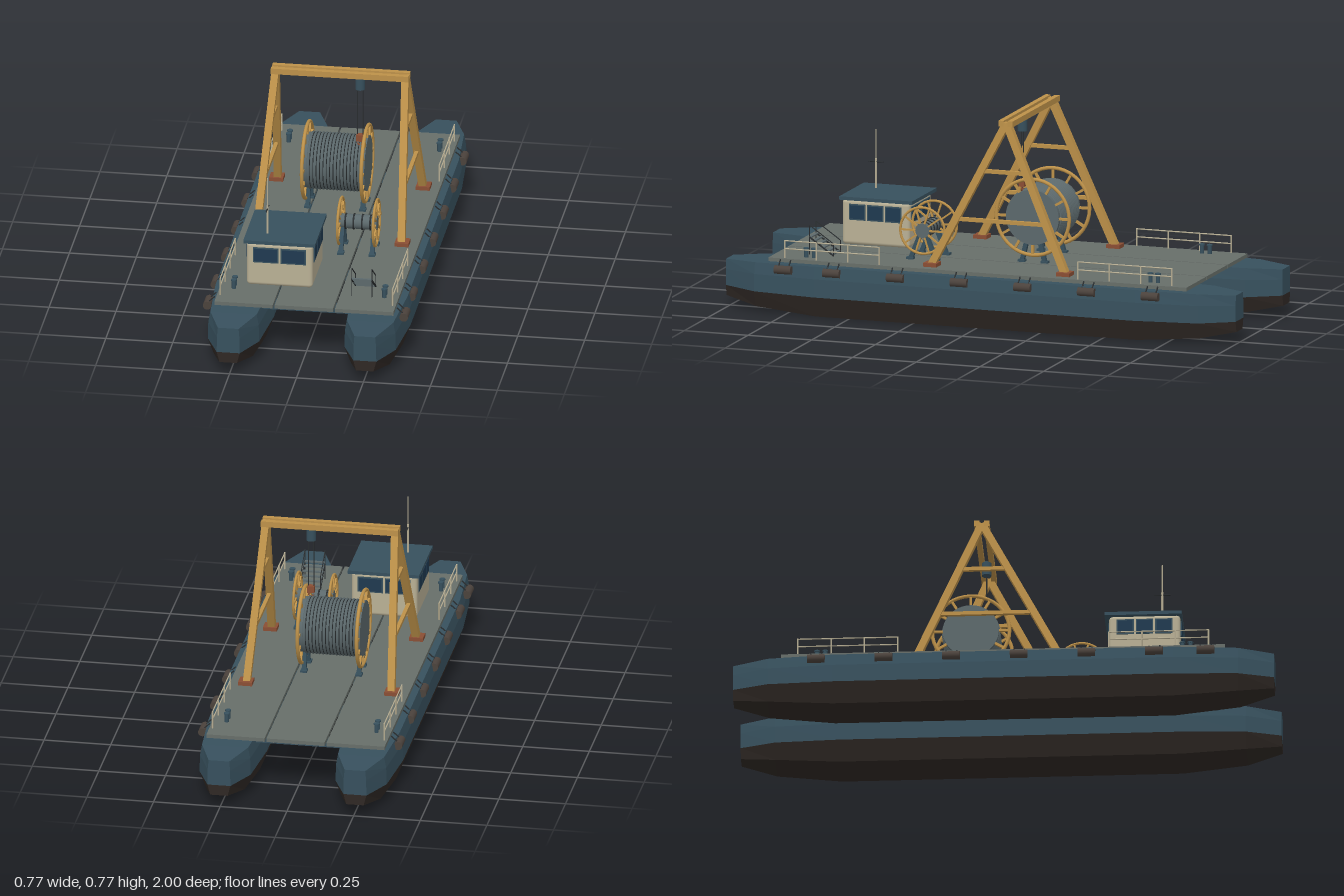
import * as THREE from 'three';
import { RoundedBoxGeometry } from 'three/addons/geometries/RoundedBoxGeometry.js';

const mat = (name, color, extra = {}) => Object.assign(new THREE.MeshStandardMaterial({ color, ...extra }), { name });
const M = {
  hull: mat('hull blue', 0x37505d),
  bottom: mat('bottom paint', 0x2f2824),
  deck: mat('deck grey', 0x676e69),
  yellow: mat('crane yellow', 0xbd9149),
  cream: mat('cabin cream', 0xb9b095),
  rust: mat('rust red', 0x8a4e34),
  glass: mat('window glass', 0x1f3950),
  rubber: mat('fender rubber', 0x4b423c),
  cable: mat('cable grey', 0x5c696c),
  dark: mat('dark steel', 0x2a2e30),
};
const V = (x, y, z) => new THREE.Vector3(x, y, z);
const UP = V(0, 1, 0);

function add(parent, name, geo, material, x = 0, y = 0, z = 0) {
  const m = new THREE.Mesh(geo, material);
  m.name = name;
  m.position.set(x, y, z);
  parent.add(m);
  return m;
}
const box = (p, name, m, w, h, d, x, y, z) => add(p, name, new THREE.BoxGeometry(w, h, d), m, x, y, z);

// straight member between two points, square or round
function bar(p, name, m, a, b, t, round = false) {
  const len = a.distanceTo(b);
  const geo = round ? new THREE.CylinderGeometry(t, t, len, 8) : new THREE.BoxGeometry(t, len, t);
  const mesh = add(p, name, geo, m);
  mesh.position.addVectors(a, b).multiplyScalar(0.5);
  mesh.quaternion.setFromUnitVectors(UP, b.clone().sub(a).normalize());
  return mesh;
}

// flat-shaded skin over rows of section points, with end caps
function loft(rows) {
  const pos = [];
  const tri = (...pts) => pts.forEach((q) => pos.push(q.x, q.y, q.z));
  for (let j = 0; j < rows.length - 1; j++)
    for (let i = 0; i < rows[0].length - 1; i++) {
      const [a, b, c, d] = [rows[j][i], rows[j][i + 1], rows[j + 1][i + 1], rows[j + 1][i]];
      tri(a, b, c);
      tri(a, c, d);
    }
  const s = rows[0], e = rows[rows.length - 1];
  for (let i = 1; i < s.length - 1; i++) {
    tri(s[0], s[i + 1], s[i]);
    tri(e[0], e[i], e[i + 1]);
  }
  const g = new THREE.BufferGeometry();
  g.setAttribute('position', new THREE.Float32BufferAttribute(pos, 3));
  g.computeVertexNormals();
  return g;
}

function hull(root, side) {
  const g = new THREE.Group();
  g.name = side > 0 ? 'leftHull' : 'rightHull';
  g.position.x = side * 0.255;
  root.add(g);
  // station: z, half width, keel y, chine y, top y
  const half = [[1, 0.043, 0.045, 0.085, 0.183], [0.87, 0.096, 0.02, 0.08, 0.188], [0.63, 0.115, 0, 0.077, 0.191]];
  const st = [...half.map(([z, ...r]) => [-z, ...r]), ...half.slice().reverse()];
  const top = st.map(([z, w, , c, t]) => [V(w, c, z), V(w * 0.98, 0.145, z), V(w * 0.9, t, z),
    V(-w * 0.9, t, z), V(-w * 0.98, 0.145, z), V(-w, c, z)]);
  const low = st.map(([z, w, k, c]) => [V(-w, c, z), V(-w * 0.76, k, z), V(w * 0.76, k, z), V(w, c, z)]);
  add(g, 'topsides', loft(top), M.hull);
  add(g, 'bottom', loft(low), M.bottom);
  // fenders hung along the outer side
  for (const z of [-0.69, -0.44, -0.19, 0.06, 0.31, 0.56, 0.75]) {
    const f = add(g, 'fender', new THREE.CylinderGeometry(0.016, 0.016, 0.065, 14), M.rubber, side * 0.112, 0.172, z);
    f.rotation.x = Math.PI / 2;
    for (const dz of [-0.02, 0.02])
      bar(g, 'fenderLashing', M.dark, V(side * 0.085, 0.205, z + dz), V(side * 0.112, 0.18, z + dz), 0.004);
  }
}

// cable reel turning about x, with spoked rims and stands
function reel(root, name, x0, x1, y, z, R, tube, r, spokes, turns, foot) {
  const g = new THREE.Group();
  g.name = name;
  g.position.set(0, y, z);
  root.add(g);
  const len = x1 - x0, mid = (x0 + x1) / 2;
  const core = add(g, 'drum', new THREE.CylinderGeometry(r * 0.97, r * 0.97, len + tube * 1.6, 40), M.cable, mid);
  core.rotation.z = Math.PI / 2;
  if (turns) {
    const pts = [], step = (len - 0.02) / turns;
    for (let i = 0; i <= turns * 4; i++)
      pts.push(new THREE.Vector2(r * (0.95 + 0.06 * Math.abs(Math.sin(i * Math.PI / 4))), -len / 2 + 0.01 + i * step / 4));
    add(g, 'windings', new THREE.LatheGeometry(pts, 40), M.cable, mid).rotation.z = Math.PI / 2;
    for (let i = 1; i < turns; i++)
      add(g, 'groove', new THREE.TorusGeometry(r * 0.965, 0.002, 4, 40), M.dark, x0 + 0.01 + i * step).rotation.y = Math.PI / 2;
  } else {
    for (const k of [0.15, 0.38, 0.62, 0.85])
      add(g, 'collar', new THREE.CylinderGeometry(r * 1.06, r * 1.06, 0.006, 28), M.dark, x0 + len * k).rotation.z = Math.PI / 2;
  }
  for (const x of [x0, x1]) {
    add(g, 'rim', new THREE.TorusGeometry(R - tube, tube, 8, 40), M.yellow, x).rotation.y = Math.PI / 2;
    for (let i = 0; i < spokes; i++) {
      const a = (i / spokes) * Math.PI * 2, c = Math.cos(a), s = Math.sin(a);
      bar(g, 'spoke', M.yellow, V(x, s * r * 0.8, c * r * 0.8), V(x, s * (R - tube), c * (R - tube)), tube * 1.3);
    }
    const xs = x + Math.sign(mid - x) * 0.008;
    for (const s of [-1, 1]) {
      bar(g, 'stand', M.hull, V(xs, 0, s * 0.005), V(xs, 0.208 - y, s * foot), 0.016);
      box(g, 'standFoot', M.hull, 0.024, 0.008, 0.028, xs, 0.212 - y, s * foot);
    }
  }
}

function gantry(root) {
  const g = new THREE.Group();
  g.name = 'gantry';
  root.add(g);
  const zc = -0.083;
  for (const s of [-1, 1]) {
    const apex = V(s * 0.242, 0.76, zc);
    const feet = [V(s * 0.271, 0.215, 0.2), V(s * 0.271, 0.215, -0.322)];
    for (const f of feet) {
      bar(g, 'leg', M.yellow, f, apex, 0.027);
      box(g, 'footPlate', M.rust, 0.052, 0.014, 0.052, s * 0.274, 0.215, f.z);
    }
    for (const h of [0.39, 0.575]) {
      const k = (h - 0.215) / 0.545;
      bar(g, 'brace', M.yellow, feet[0].clone().lerp(apex, k), feet[1].clone().lerp(apex, k), 0.014);
    }
  }
  for (const dz of [-0.018, 0.018]) box(g, 'topBeam', M.yellow, 0.514, 0.022, 0.02, 0, 0.759, zc + dz);
  // hoist, falls and hook
  add(g, 'hoist', new THREE.CylinderGeometry(0.018, 0.018, 0.052, 20), M.hull, 0.073, 0.724, zc);
  for (const x of [0.063, 0.083]) bar(g, 'rope', M.dark, V(x, 0.5, zc), V(x, 0.71, zc), 0.0018, true);
  box(g, 'hookBlock', M.rust, 0.026, 0.026, 0.022, 0.073, 0.502, zc);
  add(g, 'hook', new THREE.TorusGeometry(0.009, 0.003, 6, 16, Math.PI * 1.5), M.rust, 0.073, 0.481, zc).rotation.z = Math.PI;
}

function cabin(root) {
  const g = new THREE.Group();
  g.name = 'cabin';
  root.add(g);
  const cx = -0.117, cz = 0.518;
  add(g, 'cabinWalls', new RoundedBoxGeometry(0.246, 0.17, 0.264, 3, 0.014), M.cream, cx, 0.292, cz);
  box(g, 'roof', M.hull, 0.268, 0.013, 0.286, cx, 0.382, 0.513);
  const win = (w, x, z, turned) => {
    const d = turned ? [0.006, w] : [w, 0.006], e = turned ? [0.009, w - 0.01] : [w - 0.01, 0.009];
    box(g, 'windowFrame', M.hull, d[0], 0.06, d[1], x, 0.331, z);
    box(g, 'window', M.glass, e[0], 0.05, e[1], x, 0.331, z);
  };
  for (const s of [-1, 1]) {
    for (const x of [-0.168, -0.065]) win(0.095, x, cz + s * 0.132, false);
    for (const k of [-1, 0, 1]) win(0.064, cx + s * 0.123, cz + k * 0.071, true);
  }
  // mast with crossbar
  bar(g, 'mastBase', M.cream, V(-0.172, 0.385, 0.58), V(-0.172, 0.5, 0.58), 0.004, true);
  bar(g, 'mastTop', M.cream, V(-0.172, 0.5, 0.58), V(-0.172, 0.61, 0.58), 0.0022, true);
  bar(g, 'mastCrossbar', M.dark, V(-0.172, 0.488, 0.55), V(-0.172, 0.488, 0.61), 0.0025, true);
}

function deckFittings(root) {
  for (const s of [-1, 1]) {
    for (const e of [-1, 1]) {
      // railing
      const g = new THREE.Group();
      g.name = 'railing';
      root.add(g);
      for (let i = 0; i < 4; i++) {
        const z = e * (0.39 + i * 0.123);
        bar(g, 'railPost', M.cream, V(s * 0.322, 0.205, z), V(s * 0.322, 0.275, z), 0.003, true);
      }
      for (const y of [0.243, 0.273])
        bar(g, 'rail', M.cream, V(s * 0.322, y, e * 0.39), V(s * 0.322, y, e * 0.759), 0.0025, true);
      // mooring bollards
      for (const z of [0.66, 0.69]) {
        add(root, 'bollard', new THREE.CylinderGeometry(0.008, 0.008, 0.036, 12), M.hull, s * 0.281, 0.222, e * z);
        add(root, 'bollardCap', new THREE.CylinderGeometry(0.011, 0.011, 0.005, 12), M.hull, s * 0.281, 0.241, e * z);
      }
    }
  }
  // boarding steps
  const g = new THREE.Group();
  g.name = 'boardingSteps';
  root.add(g);
  for (let i = 0; i < 6; i++) box(g, 'step', M.cable, 0.075, 0.005, 0.011, 0.197, 0.215 + i * 0.012, 0.605 + i * 0.017);
  for (const x of [0.16, 0.235]) {
    bar(g, 'stringer', M.dark, V(x, 0.21, 0.6), V(x, 0.275, 0.695), 0.005);
    bar(g, 'handrail', M.dark, V(x, 0.255, 0.6), V(x, 0.32, 0.695), 0.003);
    bar(g, 'handrailPost', M.dark, V(x, 0.208, 0.695), V(x, 0.32, 0.695), 0.003);
    bar(g, 'handrailPost', M.dark, V(x, 0.208, 0.6), V(x, 0.255, 0.6), 0.003);
  }
}

export function createModel() {
  const root = new THREE.Group();
  root.name = 'cableBarge';
  for (const s of [-1, 1]) hull(root, s);
  // deck panels, stringers and cross beams
  for (const x of [-0.225, 0, 0.225]) box(root, 'deckPanel', M.deck, 0.218, 0.014, 1.64, x, 0.201, 0);
  for (const x of [-0.09, 0, 0.09]) box(root, 'deckStringer', M.deck, 0.012, 0.012, 1.6, x, 0.19, 0);
  for (let i = 0; i < 6; i++) box(root, 'crossBeam', M.hull, 0.36, 0.026, 0.04, 0, 0.181, -0.75 + i * 0.3);
  gantry(root);
  reel(root, 'mainReel', -0.131, 0.091, 0.379, -0.13, 0.15, 0.007, 0.107, 12, 16, 0.045);
  reel(root, 'smallReel', 0.054, 0.187, 0.319, 0.268, 0.092, 0.005, 0.028, 10, 0, 0.05);
  cabin(root);
  deckFittings(root);
  return root;
}
